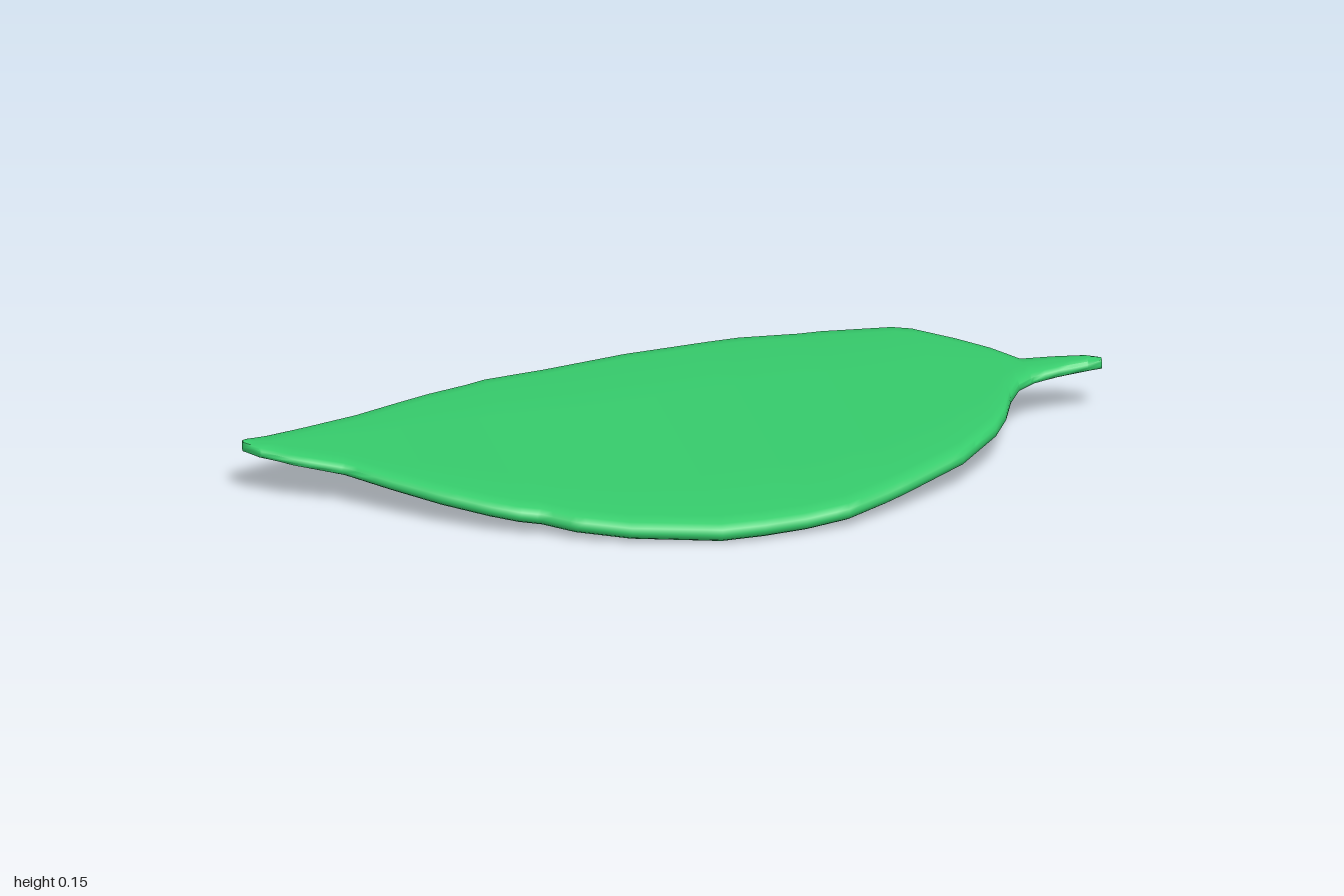
import * as THREE from 'three';
import { toCreasedNormals } from 'three/addons/utils/BufferGeometryUtils.js';

// Outline of the blade and stem as [x, z] points, from tip to stem end
const BACK = [[-1, -0.02], [-0.985, -0.035], [-0.83, -0.115], [-0.7, -0.185], [-0.5, -0.315], [-0.35, -0.4],
  [-0.2, -0.45], [0, -0.5], [0.2, -0.518], [0.27, -0.51], [0.45, -0.46], [0.6, -0.4], [0.64, -0.37],
  [0.72, -0.27], [0.78, -0.185], [0.83, -0.095], [0.9, -0.07], [0.97, -0.04], [1, -0.01]];
const FRONT = [[-1, -0.005], [-0.97, 0.035], [-0.9, 0.08], [-0.79, 0.125], [-0.7, 0.2], [-0.6, 0.275], [-0.5, 0.335],
  [-0.44, 0.362], [-0.39, 0.372], [-0.32, 0.42], [-0.2, 0.46], [0, 0.508], [0.1, 0.508], [0.3, 0.488],
  [0.45, 0.42], [0.6, 0.34], [0.7, 0.24], [0.74, 0.17], [0.77, 0.09], [0.8, 0.04], [0.84, 0.018], [0.9, 0.01], [1, 0.01]];
// Height of the middle layer and thickness along x
const MIDDLE = [[-1, 0.122], [-0.8, 0.097], [-0.4, 0.046], [-0.2, 0.029], [0, 0.025], [0.2, 0.029], [0.4, 0.049], [0.8, 0.108], [1, 0.133]];
const THICK = [[-1, 0.026], [-0.6, 0.042], [0, 0.05], [0.6, 0.042], [1, 0.026]];
// Rounded rim: inset from the outline, height as a fraction of the thickness
const RIM = [[0.05, 0.5], [0.016, 0.4], [0.003, 0.2], [0, -0.05], [0.004, -0.3], [0.016, -0.45], [0.045, -0.5]];
const SPANS = [0.25, 0.5, 0.75];

function lookUp(points, x) {
  let i = 1;
  while (i < points.length - 1 && points[i][0] < x) i++;
  const [x0, v0] = points[i - 1], [x1, v1] = points[i];
  return THREE.MathUtils.lerp(v0, v1, (x - x0) / (x1 - x0));
}

// Closed cross-section: over the top, round the front rim, back underneath
function crossSection(x) {
  const back = lookUp(BACK, x), front = lookUp(FRONT, x);
  const y = lookUp(MIDDLE, x), t = lookUp(THICK, x);
  const scale = Math.min(1, (front - back) * 0.4 / 0.05);
  const point = (z, h) => [x, y + h * t, z];
  const frontRim = RIM.map(([d, h]) => point(front - d * scale, h));
  const backRim = RIM.map(([d, h]) => point(back + d * scale, h)).reverse();
  const across = (a, b) => SPANS.map((s) => a.map((v, k) => THREE.MathUtils.lerp(v, b[k], s)));
  const last = RIM.length - 1;
  return [...across(backRim[last], frontRim[0]), ...frontRim, ...across(frontRim[last], backRim[0]), ...backRim];
}

function leafGeometry() {
  // Stations at even steps plus every outline corner
  const xs = [...BACK, ...FRONT].map((p) => p[0]);
  for (let i = 0; i <= 60; i++) xs.push(-1 + i / 30);
  xs.sort((a, b) => a - b);
  const stations = xs.filter((x, i) => i === 0 || x - xs[i - 1] > 1e-4);
  const sections = stations.map(crossSection);
  const n = sections[0].length, rows = sections.length;
  const positions = sections.flat(2), index = [];
  for (let i = 0; i < rows - 1; i++) {
    for (let j = 0; j < n; j++) {
      const a = i * n + j, b = i * n + (j + 1) % n;
      index.push(a, b, a + n, b, b + n, a + n);
    }
  }
  // End caps
  [0, rows - 1].forEach((row) => {
    const centre = positions.length / 3;
    const mid = new THREE.Vector3();
    sections[row].forEach((p) => mid.add(new THREE.Vector3(...p)));
    positions.push(...mid.divideScalar(n).toArray());
    for (let j = 0; j < n; j++) {
      const a = row * n + j, b = row * n + (j + 1) % n;
      if (row === 0) index.push(centre, b, a);
      else index.push(centre, a, b);
    }
  });
  const geometry = new THREE.BufferGeometry();
  geometry.setAttribute('position', new THREE.Float32BufferAttribute(positions, 3));
  geometry.setIndex(index);
  return toCreasedNormals(geometry, 0.9);
}

export function createModel() {
  const group = new THREE.Group();
  group.name = 'leaf';
  const blade = new THREE.Mesh(leafGeometry(), new THREE.MeshStandardMaterial({ color: 0x36cc6c }));
  blade.name = 'leafBladeAndStem';
  group.add(blade);
  return group;
}
